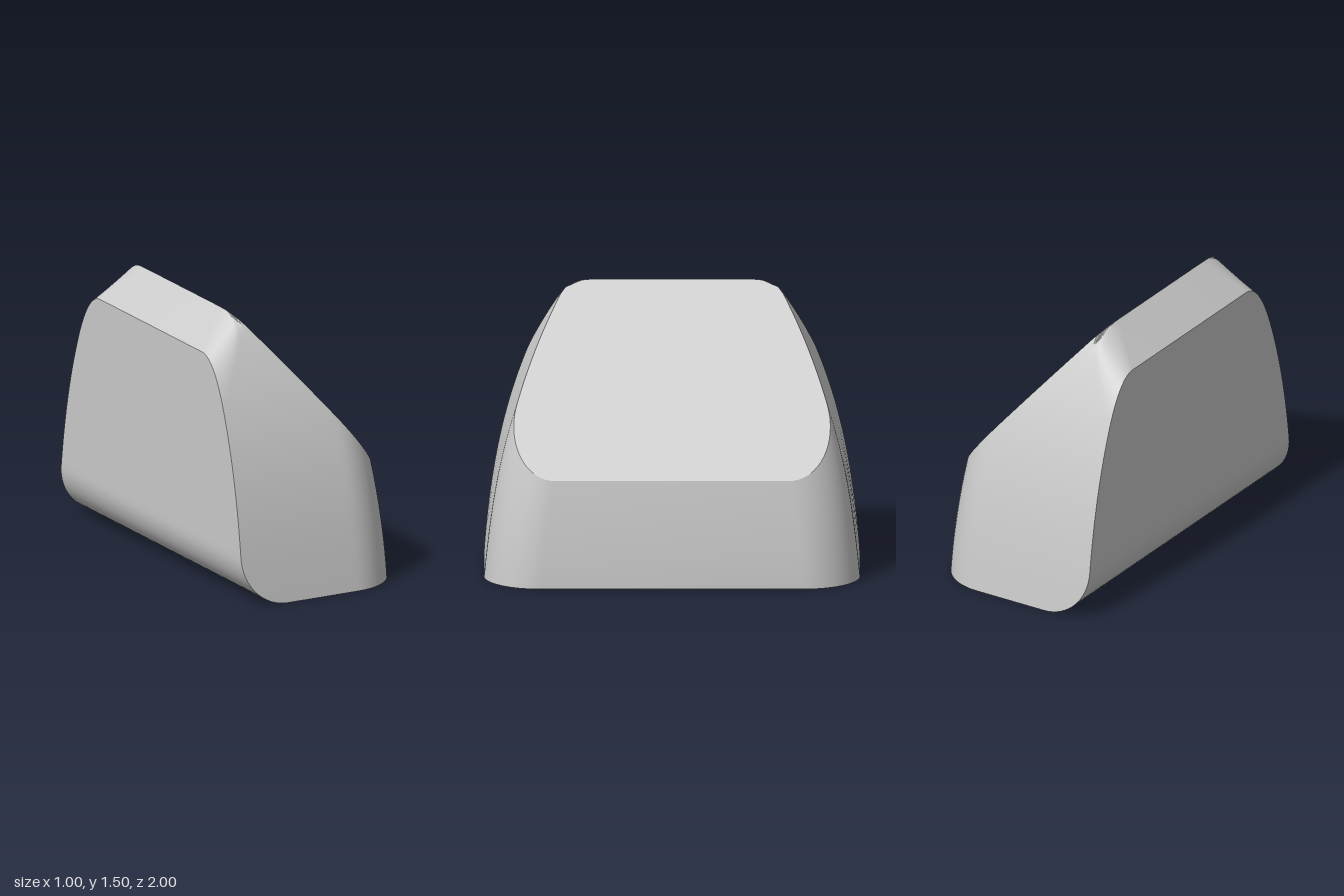
import * as THREE from 'three';
import { toCreasedNormals } from 'three/addons/utils/BufferGeometryUtils.js';

const ROWS = 44; // points up each side of a slice
const CREST = -0.3123; // x of the ridge between slope and back chamfer
const { lerp, clamp } = THREE.MathUtils;

// Half width of the bulging sides at height y
const sideWidth = (y) => 1 - 0.1 * y - 0.1 * y ** 2.7;
const sideTaper = (y) => -0.1 - 0.27 * y ** 1.7;

// Height of the back chamfer and of the top (chamfer or slope) at x
const chamferTop = (x) => 1.815 + x;
const topHeight = (x) => Math.min(chamferTop(x), 1.127 - 1.203 * x);

// Rounded lower back edge
const bottomHeight = (x) => (x < -0.23 ? 0.28 * (1 - Math.sqrt(Math.max(0, 1 - ((x + 0.23) / 0.27) ** 2))) : 0);

// The +x end leans inwards as it rises
const leanX = (x, y) => x - 0.045 * (y / 0.58) ** 1.6 * Math.max(0, x / 0.5);

// Half width of slice x at height y, with the chamfer blend and the +x corner rounding
function halfWidth(x, y) {
  const k = clamp((x + 0.5) / (CREST + 0.5), 0, 1);
  const top = chamferTop(x), start = top - lerp(0.27, 0.12, k);
  let w = sideWidth(y);
  if (y > start) {
    const t = 1 - Math.sqrt(Math.max(0, 1 - (y - start) / (top - start)));
    const a = sideWidth(start), b = a + sideTaper(start) * (top - start);
    w = (1 - t) ** 2 * a + 2 * t * (1 - t) * b + t * t * lerp(0.55, 0.4, k);
  }
  if (x > 0.2) w += Math.sqrt(Math.max(0, 0.09 - (x - 0.2) ** 2)) - 0.3;
  return w;
}

function bodyGeometry() {
  // Slice positions: lower back arc, straight middle, rounded corner
  const xs = [CREST];
  for (let i = 0; i <= 16; i++) xs.push(-0.23 - 0.27 * Math.cos((i / 16) * Math.PI / 2));
  for (let i = 1; i <= 14; i++) xs.push(-0.23 + 0.43 * (i / 14));
  for (let i = 1; i <= 16; i++) xs.push(0.2 + 0.3 * Math.sin((i / 16) * Math.PI / 2));
  xs.sort((a, b) => a - b);

  const positions = [], index = [], ring = ROWS * 2;
  for (const x of xs) {
    let top = topHeight(x);
    for (let n = 0; n < 25; n++) top = topHeight(leanX(x, top));
    const bottom = bottomHeight(x), side = [];
    for (let j = 0; j < ROWS; j++) {
      const y = lerp(bottom, top, 1 - (1 - j / (ROWS - 1)) ** 2);
      side.push([leanX(x, y), y, halfWidth(x, y)]);
    }
    for (const p of side) positions.push(...p);
    for (const [px, y, z] of side.reverse()) positions.push(px, y, -z);
  }
  const quad = (a, b, c, d) => index.push(a, b, c, a, c, d);

  // Skin between neighbouring slices
  for (let i = 0; i < xs.length - 1; i++) {
    for (let j = 0; j < ring; j++) {
      const a = i * ring + j, b = i * ring + ((j + 1) % ring);
      quad(a, a + ring, b + ring, b);
    }
  }
  // Flat back and +x end
  const last = (xs.length - 1) * ring;
  for (let j = 0; j < ROWS - 1; j++) {
    const m = ring - 1 - j;
    quad(j, j + 1, m - 1, m);
    quad(last + j, last + m, last + m - 1, last + j + 1);
  }

  const geometry = new THREE.BufferGeometry();
  geometry.setAttribute('position', new THREE.Float32BufferAttribute(positions, 3));
  geometry.setIndex(index);
  return toCreasedNormals(geometry, 0.45);
}

export function createModel() {
  const model = new THREE.Group();
  model.name = 'slopedBlock';
  const body = new THREE.Mesh(bodyGeometry(), new THREE.MeshStandardMaterial({ color: 0xcccccc }));
  body.name = 'body';
  model.add(body);
  return model;
}
